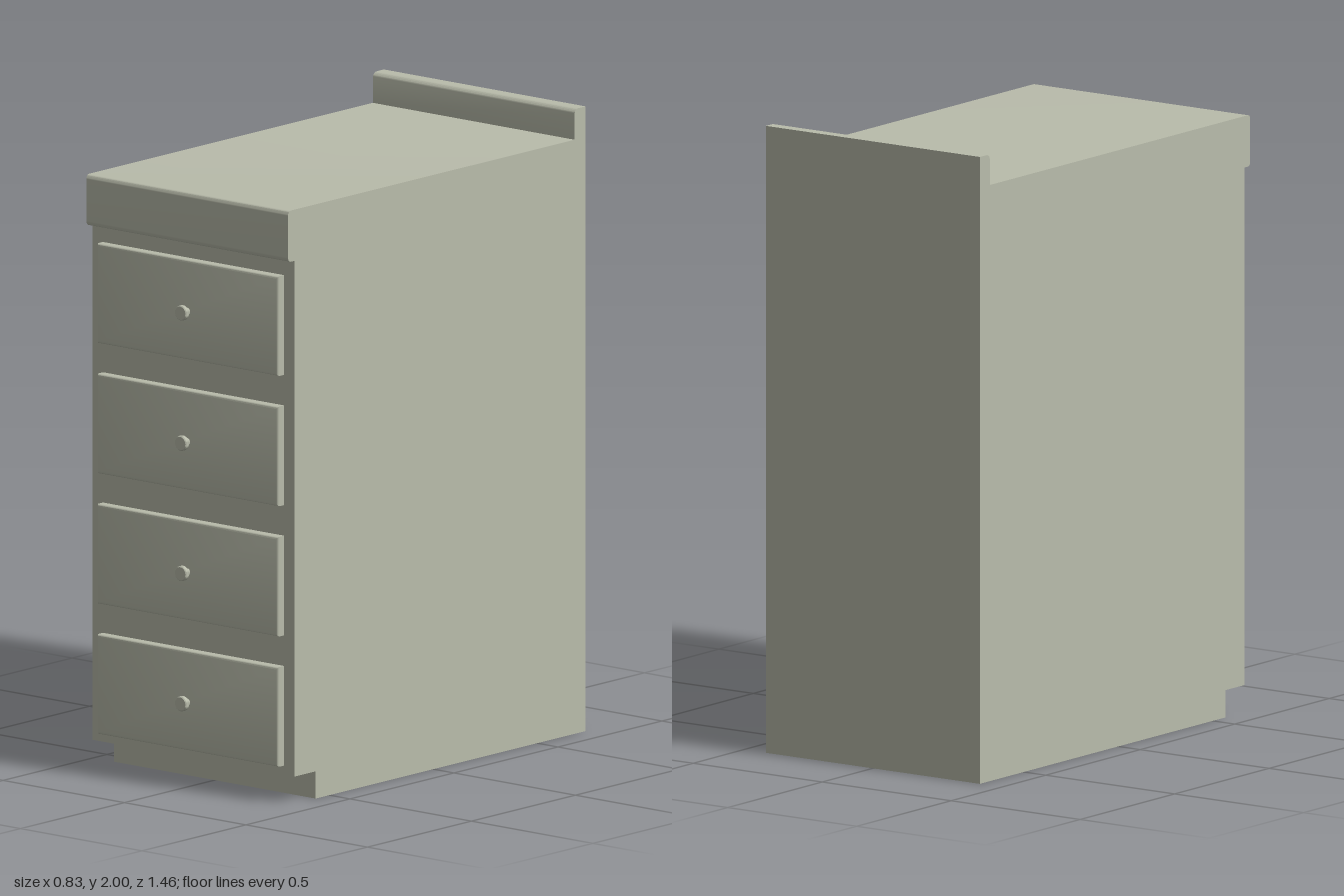
import * as THREE from 'three';
import { toCreasedNormals } from 'three/addons/utils/BufferGeometryUtils.js';

const material = new THREE.MeshStandardMaterial({ color: 0xb9bcab });
const WIDTH = 0.83;
const BACK = -0.732, FACE = 0.668, LIP = 0.698, TOE = 0.566;

function addMesh(parent, name, geometry) {
  const mesh = new THREE.Mesh(geometry, material);
  mesh.name = name;
  parent.add(mesh);
  return mesh;
}

// Side profile (z, y) with toe kick, worktop lip and upstand, extruded across the width
function cabinetGeometry() {
  const s = new THREE.Shape();
  s.moveTo(BACK, 0);
  s.lineTo(TOE, 0);
  s.lineTo(TOE, 0.087);
  s.lineTo(FACE, 0.087);
  s.lineTo(FACE, 1.738);
  s.lineTo(LIP - 0.015, 1.738);
  s.quadraticCurveTo(LIP, 1.738, LIP, 1.753);
  s.lineTo(LIP, 1.887);
  s.quadraticCurveTo(LIP, 1.902, LIP - 0.015, 1.902);
  s.lineTo(-0.679, 1.902);
  s.lineTo(-0.679, 1.98);
  s.quadraticCurveTo(-0.679, 2, -0.699, 2);
  s.lineTo(BACK, 2);
  s.closePath();
  const g = new THREE.ExtrudeGeometry(s, { depth: WIDTH, bevelEnabled: false, curveSegments: 6 });
  g.translate(0, 0, -WIDTH / 2).rotateY(-Math.PI / 2);
  return toCreasedNormals(g, 0.6);
}

// Drawer front with softened front edges; its rear is sunk into the cabinet
function drawerGeometry(w, h) {
  const b = 0.008, x = w / 2 - b, y = h / 2 - b;
  const s = new THREE.Shape([[-x, -y], [x, -y], [x, y], [-x, y]].map(p => new THREE.Vector2(...p)));
  const depth = 0.04;
  const g = new THREE.ExtrudeGeometry(s, { depth, bevelSize: b, bevelThickness: b, bevelSegments: 3 });
  g.translate(0, 0, LIP - depth - b);
  return toCreasedNormals(g, 0.6);
}

// Turned knob: slim stem and flat button head
function knobGeometry() {
  const profile = [[0.012, -0.005], [0.012, 0.018], [0.022, 0.018], [0.024, 0.02], [0.024, 0.031], [0.021, 0.034], [0, 0.034]];
  const g = new THREE.LatheGeometry(profile.map(p => new THREE.Vector2(...p)), 24);
  g.rotateX(Math.PI / 2);
  return toCreasedNormals(g, 0.6);
}

export function createModel() {
  const model = new THREE.Group();
  model.name = 'drawerCabinet';
  addMesh(model, 'cabinetBody', cabinetGeometry());

  const front = drawerGeometry(0.746, 0.319);
  const knob = knobGeometry();
  for (let i = 0; i < 4; i++) {
    const drawer = new THREE.Group();
    drawer.name = 'drawer' + (i + 1);
    drawer.position.y = 0.276 + i * 0.417;
    addMesh(drawer, 'drawerFront', front);
    addMesh(drawer, 'knob', knob).position.set(0, -0.005, LIP);
    model.add(drawer);
  }
  return model;
}
